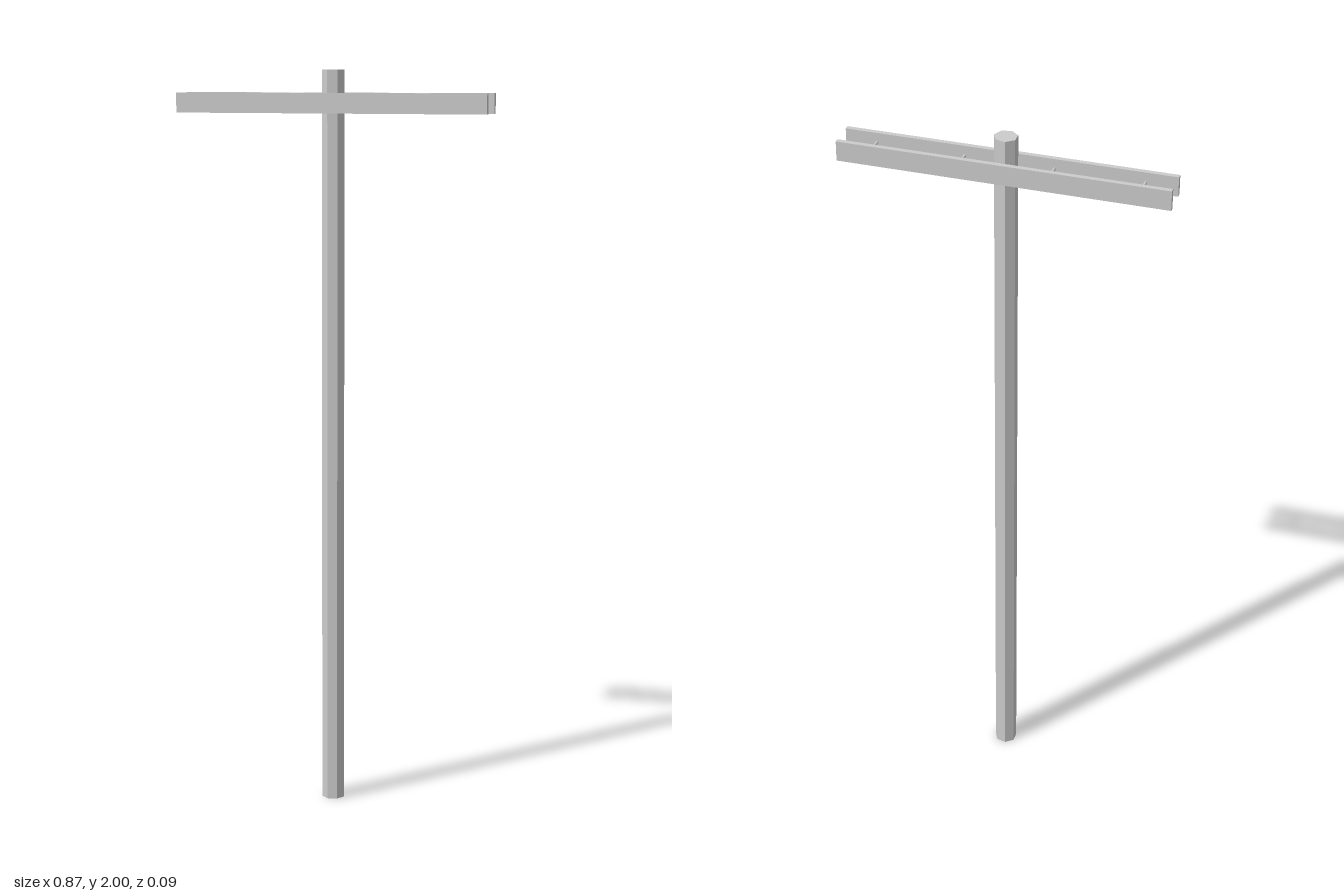
import * as THREE from 'three';

export function createModel() {
  const group = new THREE.Group();
  const material = new THREE.MeshStandardMaterial({ color: 0xcccccc, flatShading: true });

  const add = (name, geometry, x, y, z) => {
    const mesh = new THREE.Mesh(geometry, material);
    mesh.name = name;
    mesh.position.set(x, y, z);
    group.add(mesh);
    return mesh;
  };

  // Seven-sided pole with one corner towards +x
  const poleHeight = 2;
  const pole = new THREE.CylinderGeometry(0.031, 0.031, poleHeight, 7, 1, false, Math.PI / 2);
  add('pole', pole, 0, poleHeight / 2, 0);

  // Pair of crossarm planks, one on each side of the pole
  const armY = 1.912;
  const plank = new THREE.BoxGeometry(0.868, 0.054, 0.013);
  add('frontCrossarm', plank, 0, armY, 0.0365);
  add('backCrossarm', plank, 0, armY, -0.0365);

  // Thin bolts tying the planks together
  const bolt = new THREE.CylinderGeometry(0.004, 0.004, 0.062, 7).rotateX(Math.PI / 2);
  for (const x of [-0.351, -0.117, 0.117, 0.351]) add('crossarmBolt', bolt, x, armY, 0);

  return group;
}
